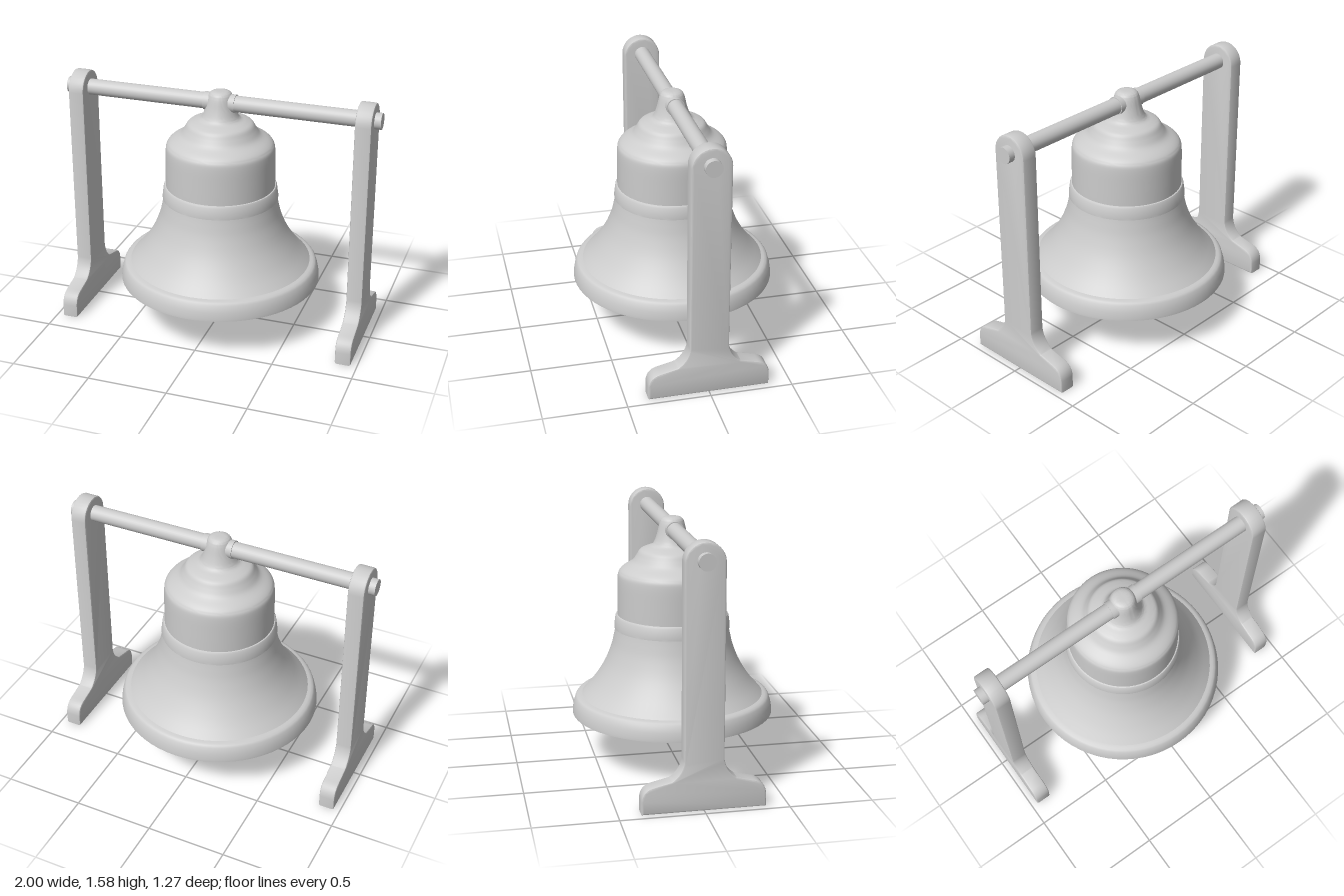
import * as THREE from 'three';
import { toCreasedNormals } from 'three/addons/utils/BufferGeometryUtils.js';

const material = new THREE.MeshStandardMaterial({ color: 0xcccccc });

function addMesh(parent, name, geometry, x = 0, y = 0, z = 0) {
  const mesh = new THREE.Mesh(geometry, material);
  mesh.name = name;
  mesh.position.set(x, y, z);
  parent.add(mesh);
  return mesh;
}

const vectors = (pairs) => pairs.map(([x, y]) => new THREE.Vector2(x, y));
const smooth = (pairs, n) => new THREE.SplineCurve(vectors(pairs)).getPoints(n);

// Bell wall: inside from crown to mouth, then outside from lip to crown
function bellGeometry() {
  const profile = [
    ...smooth([[0, 1.17], [0.2, 1.16], [0.28, 1.11], [0.3, 1.0], [0.315, 0.85], [0.34, 0.72],
      [0.39, 0.6], [0.47, 0.48], [0.54, 0.39], [0.575, 0.3]], 36),
    ...vectors([[0.634, 0.3], [0.634, 0.315], [0.627, 0.355], [0.615, 0.395], [0.605, 0.408], [0.59, 0.414]]),
    ...smooth([[0.572, 0.418], [0.5, 0.5], [0.43, 0.61], [0.385, 0.72], [0.365, 0.8], [0.356, 0.846]], 16),
    // Raised band
    ...vectors([[0.363, 0.846], [0.363, 0.86], [0.355, 0.918], [0.349, 0.929], [0.342, 0.931]]),
    // Shoulder, dome and crown
    ...smooth([[0.342, 0.94], [0.341, 1.05], [0.339, 1.16], [0.331, 1.2], [0.305, 1.228], [0.25, 1.262],
      [0.222, 1.3], [0.2, 1.335], [0.165, 1.352], [0.128, 1.366], [0.109, 1.39], [0.092, 1.44],
      [0.078, 1.5], [0.065, 1.53], [0.04, 1.543], [0, 1.545]], 60),
  ];
  return toCreasedNormals(new THREE.LatheGeometry(profile, 64), 0.6);
}

// Post with a rounded head and a flared foot, drawn in the z-y plane
function postGeometry() {
  const bevel = 0.01, thickness = 0.1;
  const s = new THREE.Shape();
  s.moveTo(-0.367, 0);
  s.lineTo(0.367, 0);
  s.lineTo(0.367, 0.08);
  s.quadraticCurveTo(0.362, 0.15, 0.295, 0.165);
  s.lineTo(0.19, 0.19);
  s.quadraticCurveTo(0.125, 0.235, 0.117, 0.31);
  s.lineTo(0.117, 1.458);
  s.absarc(0, 1.458, 0.117, 0, Math.PI, false);
  s.lineTo(-0.117, 0.31);
  s.quadraticCurveTo(-0.125, 0.235, -0.19, 0.19);
  s.lineTo(-0.295, 0.165);
  s.quadraticCurveTo(-0.362, 0.15, -0.367, 0.08);
  s.closePath();
  const geometry = new THREE.ExtrudeGeometry(s, {
    depth: thickness - 2 * bevel, bevelThickness: bevel, bevelSize: bevel,
    bevelOffset: -bevel, bevelSegments: 2, curveSegments: 8,
  });
  geometry.translate(0, 0, bevel - thickness / 2);
  geometry.rotateY(Math.PI / 2);
  return toCreasedNormals(geometry, 0.5);
}

export function createModel() {
  const model = new THREE.Group();
  model.name = 'bellOnStand';

  // Stand
  const post = postGeometry();
  addMesh(model, 'leftPost', post, 0.91);
  addMesh(model, 'rightPost', post, -0.91);
  const axleY = 1.47;
  addMesh(model, 'crossbar', new THREE.CylinderGeometry(0.05, 0.05, 2, 32), 0, axleY).rotation.z = Math.PI / 2;

  // Bell with the sleeve that carries it on the bar
  const bell = new THREE.Group();
  bell.name = 'bell';
  model.add(bell);
  addMesh(bell, 'bellBody', bellGeometry());
  addMesh(bell, 'sleeve', new THREE.CylinderGeometry(0.056, 0.056, 0.2, 32), 0, axleY).rotation.z = Math.PI / 2;

  // Clapper
  const clapper = new THREE.Group();
  clapper.name = 'clapper';
  model.add(clapper);
  addMesh(clapper, 'clapperRod', new THREE.CylinderGeometry(0.03, 0.03, 0.86, 24), 0, 0.76);
  addMesh(clapper, 'clapperBall', new THREE.SphereGeometry(0.097, 32, 24), 0, 0.3);

  return model;
}
